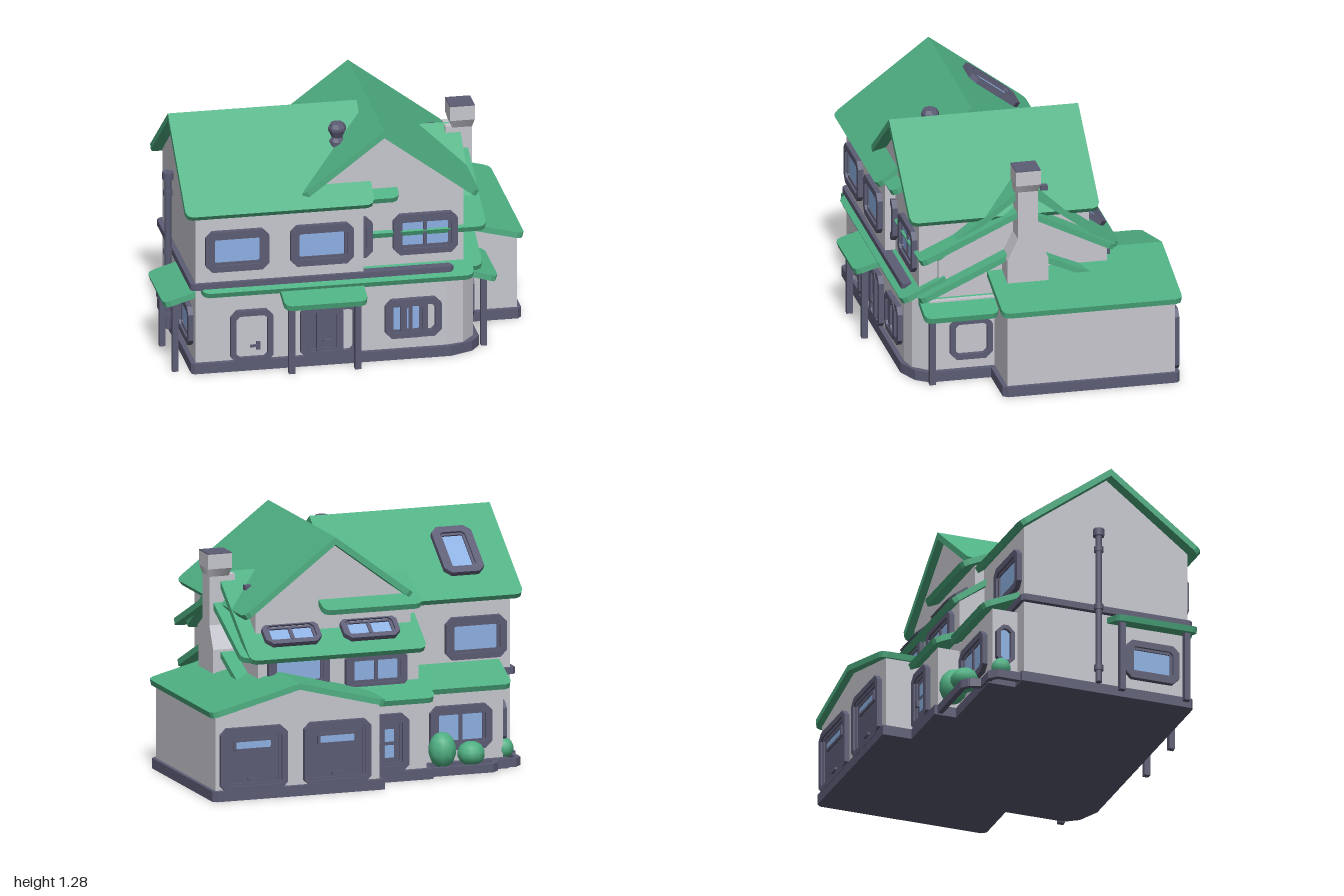
import * as THREE from 'three';

const mat = (name, color, side = THREE.FrontSide) => {
  const m = new THREE.MeshStandardMaterial({ color, side });
  m.name = name;
  return m;
};

export function createModel() {
  const house = new THREE.Group();
  house.name = 'house';
  const wall = mat('wall grey', 0xc6c6ce);
  const roof = mat('roof green', 0x4fb083);
  const trim = mat('trim slate', 0x5c5c75);
  const glass = mat('glass blue', 0x8cb0e2);
  const V = (x, y, z) => new THREE.Vector3(x, y, z);

  const add = (name, geo, material, parent = house) => {
    const m = new THREE.Mesh(geo, material);
    m.name = name;
    parent.add(m);
    return m;
  };
  const box = (name, x0, x1, y0, y1, z0, z1, material, parent) => {
    const m = add(name, new THREE.BoxGeometry(x1 - x0, y1 - y0, z1 - z0), material, parent);
    m.position.set((x0 + x1) / 2, (y0 + y1) / 2, (z0 + z1) / 2);
    return m;
  };
  const poly = (pts) => new THREE.Shape(pts.map(([x, y]) => new THREE.Vector2(x, y)));
  const extrude = (shape, depth) => new THREE.ExtrudeGeometry(shape, { depth, bevelEnabled: false });

  // Floor plan [x, z] raised between two heights
  const plan = (name, pts, y0, y1, material) => {
    const g = extrude(poly(pts.map(([x, z]) => [x, -z])), y1 - y0);
    g.rotateX(-Math.PI / 2).translate(0, y0, 0);
    return add(name, g, material);
  };
  // Profile in z-y swept along x, or in x-y swept along z
  const sweepX = (name, pts, x0, x1, material) => {
    const g = extrude(poly(pts.map(([z, y]) => [-z, y])), x1 - x0);
    g.rotateY(Math.PI / 2).translate(x0, 0, 0);
    return add(name, g, material);
  };
  const sweepZ = (name, pts, z0, z1, material) =>
    add(name, extrude(poly(pts), z1 - z0).translate(0, 0, z0), material);
  const gable = (a, b, y0, shoulder, peak) =>
    [[a, y0], [b, y0], [b, shoulder], [(a + b) / 2, peak], [a, shoulder]];

  // Sloping roof plate with clipped eave corners; top face runs from the ridge p0-p1 along drop
  const slab = (name, p0, p1, drop, t = 0.032, r = 0.035) => {
    const W = p0.distanceTo(p1), L = drop.length();
    const U = p1.clone().sub(p0).normalize(), D = drop.clone().normalize();
    const N = U.clone().cross(D);
    const g = extrude(poly([[0, 0], [W, 0], [W, L - r], [W - r * 0.3, L - r * 0.3], [W - r, L],
      [r, L], [r * 0.3, L - r * 0.3], [0, L - r]]), t);
    if (N.y > 0) g.translate(0, 0, -t);
    g.applyMatrix4(new THREE.Matrix4().makeBasis(U, D, N).setPosition(p0));
    return add(name, g, roof);
  };
  const gableRoof = (name, p0, p1, dropA, dropB) => {
    slab(name, p0, p1, dropA);
    slab(name, p0, p1, dropB);
  };

  // Framed opening facing the direction n; fill is glass, a solid panel or nothing
  const clipped = (w, h, c) => [[-w / 2 + c, -h / 2], [w / 2 - c, -h / 2], [w / 2, -h / 2 + c],
    [w / 2, h / 2 - c], [w / 2 - c, h / 2], [-w / 2 + c, h / 2], [-w / 2, h / 2 - c], [-w / 2, -h / 2 + c]];
  const ring = (w, h, c, b) => {
    const s = poly(clipped(w, h, c));
    s.holes.push(poly(clipped(w - 2 * b, h - 2 * b, c * 0.5)));
    return s;
  };
  const opening = (name, pos, n, w, h, { border = 0.035, fill = glass, step = true, bars = 0 } = {}) => {
    const g = new THREE.Group();
    g.name = name;
    g.position.copy(pos);
    g.lookAt(pos.clone().add(n));
    house.add(g);
    add('outer frame', extrude(ring(w, h, 0.035, border), 0.028), trim, g);
    let iw = w - 2 * border, ih = h - 2 * border;
    if (step) {
      add('inner frame', extrude(ring(iw + 0.004, ih + 0.004, 0.01, 0.016), 0.016), trim, g);
      iw -= 0.03; ih -= 0.03;
    }
    if (fill) box('pane', -iw / 2 - 0.003, iw / 2 + 0.003, -ih / 2 - 0.003, ih / 2 + 0.003, 0, 0.008, fill, g);
    for (let i = 1; i <= bars; i++) {
      const x = -iw / 2 + (iw * i) / (bars + 1);
      box('mullion', x - 0.01, x + 0.01, -ih / 2, ih / 2, 0, 0.016, trim, g);
    }
    return g;
  };
  const F = V(0, 0, 1), B = V(0, 0, -1), R = V(1, 0, 0), L = V(-1, 0, 0);

  // Plinth and ground floor walls
  plan('plinth', [[-0.84, 0.63], [0.52, 0.63], [0.64, 0.58], [0.69, 0.51], [0.69, 0.185], [0.96, 0.185],
    [0.98, 0.16], [0.98, -0.74], [0.96, -0.76], [0.03, -0.76], [0.03, -0.6], [-0.3, -0.6], [-0.3, -0.48],
    [-0.76, -0.48], [-0.76, -0.33], [-0.855, -0.33], [-0.855, 0.615]], 0, 0.055, trim);
  plan('ground floor walls', [[-0.83, 0.605], [0.5, 0.605], [0.59, 0.585], [0.62, 0.55], [0.66, 0.5], [0.66, 0.14],
    [0.62, 0.14], [0.62, -0.45], [-0.74, -0.45], [-0.74, -0.31], [-0.83, -0.31]], 0.05, 0.44, wall);
  box('back entrance walls', -0.27, 0.1, 0.05, 0.4, -0.57, -0.4, wall);
  sweepZ('garage walls', gable(0.05, 0.96, 0.05, 0.45, 0.56), -0.735, 0.16, wall);

  // Upper floor walls
  sweepX('left wing walls', gable(-0.31, 0.605, 0.4, 0.89, 1.24), -0.83, 0.06, wall);
  sweepZ('front gable walls', gable(-0.26, 0.6, 0.4, 0.91, 1.235), -0.36, 0.55, wall);
  sweepX('right gable walls', gable(-0.45, 0.45, 0.4, 0.685, 1.01), -0.27, 0.62, wall);

  // Belt course round the left wing
  plan('belt course', [[-0.84, 0.625], [0.52, 0.625], [0.535, 0.61], [0.52, 0.57], [0.06, 0.57], [0.06, -0.33],
    [-0.84, -0.33], [-0.858, -0.31], [-0.858, 0.61]], 0.465, 0.5, trim);

  // Main roofs
  gableRoof('left wing roof', V(-0.89, 1.28, 0.155), V(0.11, 1.28, 0.155), V(0, -0.385, 0.51), V(0, -0.385, -0.515));
  gableRoof('front gable roof', V(0.17, 1.28, -0.4), V(0.17, 1.28, 0.61), V(0.51, -0.385, 0), V(-0.44, -0.332, 0));
  gableRoof('inner eave roof', V(-0.3, 1.15, 0.085), V(0.25, 1.15, 0.085), V(0, -0.245, 0.535), V(0, -0.245, -0.535));
  gableRoof('right gable roof', V(-0.3, 1.055, 0), V(0.68, 1.055, 0), V(0, -0.365, 0.49), V(0, -0.375, -0.51));
  gableRoof('middle eave roof', V(0.06, 0.94, 0.02), V(0.72, 0.94, 0.02), V(0, -0.25, 0.55), V(0, -0.25, -0.5));
  slab('lower front eave', V(0.06, 0.73, 0), V(0.7, 0.73, 0), V(0, -0.26, 0.57));
  slab('lower back eave', V(-0.31, 0.7, 0), V(0.7, 0.7, 0), V(0, -0.265, -0.61));
  slab('front skirt roof', V(-0.8, 0.565, 0.42), V(0.64, 0.565, 0.42), V(0, -0.11, 0.235));
  slab('back skirt roof', V(-0.77, 0.575, -0.25), V(-0.26, 0.575, -0.25), V(0, -0.12, -0.265));
  gableRoof('garage roof', V(0.505, 0.6, -0.77), V(0.505, 0.6, 0.19), V(0.49, -0.125, 0), V(-0.485, -0.125, 0));

  // Porches and posts
  slab('left porch roof', V(-0.8, 0.46, 0.155), V(-0.8, 0.46, 0.605), V(-0.2, -0.06, 0));
  slab('front porch roof', V(-0.385, 0.465, 0.55), V(0.055, 0.465, 0.55), V(0, -0.065, 0.22));
  slab('right porch roof', V(0.58, 0.455, 0.16), V(0.58, 0.455, 0.555), V(0.205, -0.06, 0));
  for (const [x, z] of [[-0.34, 0.705], [0.01, 0.705], [-0.93, 0.2], [-0.93, 0.56], [0.715, 0.505]])
    box('porch post', x - 0.016, x + 0.016, 0, 0.4, z - 0.016, z + 0.016, trim);

  // Windows
  for (const x of [-0.612, -0.163]) opening('front upper window', V(x, 0.675, 0.605), F, 0.335, 0.225);
  opening('recessed upper window', V(-0.05, 0.675, 0.55), F, 0.33, 0.225);
  opening('gable window', V(0.395, 0.675, 0.55), F, 0.34, 0.225, { bars: 1 });
  opening('front lower window', V(0.283, 0.228, 0.608), F, 0.225, 0.215, { bars: 2, border: 0.03 });
  opening('front lower shutter', V(0.36, 0.228, 0.604), F, 0.22, 0.215, { fill: null, step: false });
  opening('right window', V(0.66, 0.223, 0.288), R, 0.225, 0.225, { fill: null, step: false, border: 0.028 });
  opening('left window', V(-0.83, 0.228, 0.4), L, 0.3, 0.215);
  opening('back upper window', V(-0.635, 0.675, -0.31), B, 0.335, 0.225);
  opening('back middle window', V(-0.03, 0.575, -0.45), B, 0.34, 0.2, { bars: 1 });
  opening('back middle window', V(0.4, 0.6, -0.45), B, 0.34, 0.2);
  opening('garden window', V(-0.5, 0.235, -0.45), B, 0.34, 0.235, { bars: 1 });
  opening('garden side window', V(-0.74, 0.235, -0.385), L, 0.1, 0.22, { step: false, border: 0.022 });
  opening('roof window', V(-0.61, 1.085, -0.108), V(0, 0.515, -0.385), 0.22, 0.32, { border: 0.04 });
  for (const x of [0.415, -0.02])
    opening('back roof window', V(x, 0.775, -0.39), V(0, 0.51, -0.375), 0.31, 0.15, { bars: 1, border: 0.025 });

  // Front doors
  const sideDoor = opening('side door', V(-0.535, 0.19, 0.605), F, 0.225, 0.29, { fill: wall, step: false, border: 0.03 });
  box('handle plate', 0.025, 0.045, -0.08, -0.035, 0, 0.018, trim, sideDoor);
  box('handle', -0.01, 0.035, -0.062, -0.05, 0.012, 0.024, trim, sideDoor);
  const door = opening('main door', V(-0.165, 0.19, 0.607), F, 0.225, 0.29, { fill: trim });
  box('door panel', -0.02, 0.06, -0.02, 0.1, 0, 0.014, trim, door);
  box('handle', 0.01, 0.05, -0.062, -0.048, 0.008, 0.026, trim, door);
  opening('main door surround', V(-0.08, 0.19, 0.604), F, 0.225, 0.29, { fill: null, step: false, border: 0.03 });

  // Garage doors and back entrance
  for (const x of [0.755, 0.29]) {
    const g = opening('garage door', V(x, 0.215, -0.735), B, 0.37, 0.34, { fill: trim, border: 0.03 });
    const pane = add('pane frame', extrude(ring(0.22, 0.065, 0.01, 0.014), 0.018), trim, g);
    pane.position.y = 0.075;
    box('pane', -0.097, 0.097, 0.055, 0.095, 0, 0.013, glass, g);
    box('handle', -0.03, 0.03, -0.115, -0.1, 0, 0.022, trim, g);
  }
  const back = opening('back door', V(-0.06, 0.205, -0.57), B, 0.21, 0.31, { fill: trim });
  for (const y of [0.04, -0.045]) box('pane', -0.025, 0.025, y - 0.033, y + 0.033, 0, 0.012, glass, back);
  box('handle', -0.055, -0.035, -0.04, 0, 0, 0.024, trim, back);

  // Chimney with flared foot and cap
  sweepX('chimney', [[-0.11, 0.5], [0.11, 0.5], [0.11, 0.665], [0.053, 0.785], [0.053, 1.05],
    [-0.053, 1.05], [-0.053, 0.785], [-0.11, 0.665]], 0.6, 0.742, wall);
  const neck = add('chimney neck', new THREE.CylinderGeometry(0.0933, 0.075, 0.045, 4).rotateY(Math.PI / 4), wall);
  neck.position.set(0.688, 1.065, 0);
  box('chimney cap', 0.622, 0.754, 1.085, 1.163, -0.066, 0.066, wall);
  box('chimney top', 0.622, 0.754, 1.163, 1.168, -0.066, 0.066, trim);

  // Roof vents
  const vent = add('vent pipe', new THREE.LatheGeometry([[0, 1.0], [0.042, 1.0], [0.042, 1.14], [0.028, 1.16],
    [0.048, 1.2], [0.048, 1.215], [0.035, 1.237], [0, 1.237]].map(([r, y]) => new THREE.Vector2(r, y)), 8)
    .toNonIndexed(), trim);
  vent.geometry.computeVertexNormals();
  vent.position.set(-0.03, 0, 0.345);
  box('small vent', 0.53, 0.575, 0.94, 1.0, -0.145, -0.105, trim);

  // Downspout with collars
  const pipe = (y0, y1, r) => {
    const m = add('downspout', new THREE.CylinderGeometry(r, r, y1 - y0, 10), trim);
    m.position.set(-0.877, (y0 + y1) / 2, 0.09);
  };
  pipe(0.05, 0.92, 0.018);
  for (const y of [0.13, 0.48, 0.81]) pipe(y - 0.015, y + 0.015, 0.025);
  pipe(0.885, 0.925, 0.03);

  // Garden curb and shrubs
  const curb = [[-0.82, -0.3], [-0.82, -0.45], [-0.79, -0.48], [-0.68, -0.48], [-0.66, -0.545], [-0.63, -0.57], [-0.28, -0.57]];
  for (let i = 0; i < curb.length - 1; i++) {
    const a = V(curb[i][0], 0.03, curb[i][1]), b = V(curb[i + 1][0], 0.03, curb[i + 1][1]);
    const m = add('garden curb', new THREE.BoxGeometry(0.028, 0.045, a.distanceTo(b) + 0.015), trim);
    m.position.copy(a).lerp(b, 0.5);
    m.lookAt(b);
  }
  for (const [x, z, r, h] of [[-0.375, -0.525, 0.075, 0.19], [-0.535, -0.525, 0.075, 0.13], [-0.76, -0.41, 0.052, 0.11]]) {
    const s = add('shrub', new THREE.SphereGeometry(1, 10, 7), roof);
    s.scale.set(r, h / 2, r);
    s.position.set(x, 0.04 + h / 2, z);
  }
  return house;
}
